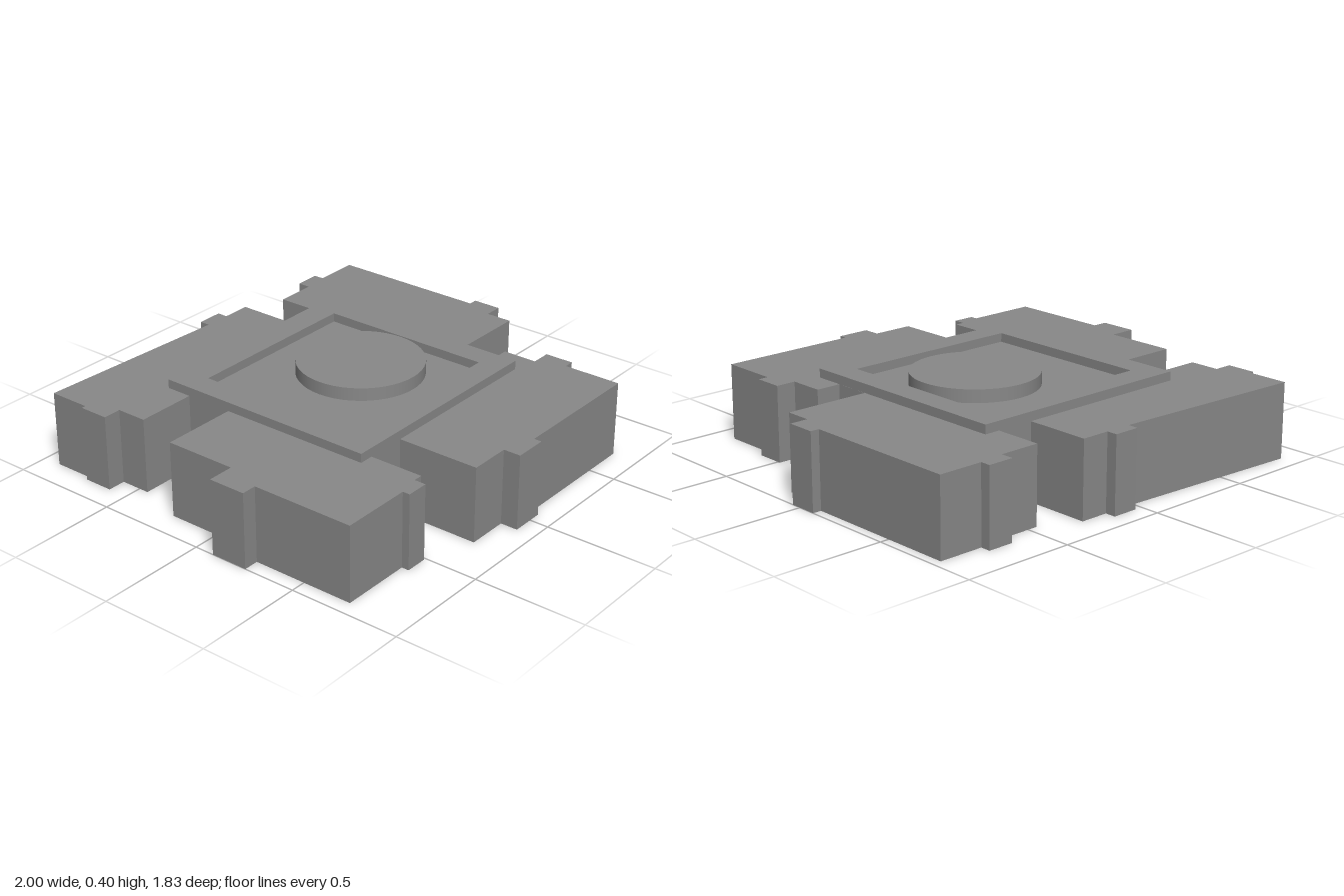
import * as THREE from 'three';

const TOP = 0.34; // height of the block layer
const DISC = { x: 0.098, z: -0.043, r: 0.28 };
const OPENING = { x: 0.13, z: -0.12, r: 0.265 };

// Plan outline of the four arms with their tabs, as [x, z]
const OUTLINE = [
  // back arm
  [-0.87, -0.915], [0.035, -0.868], [0.035, -0.915], [0.153, -0.915], [0.153, -0.867], [0.283, -0.867], [0.283, -0.573],
  // left arm
  [0.455, -0.573], [0.455, -0.787], [0.64, -0.787], [0.64, -0.845], [0.757, -0.845], [0.757, -0.8], [0.96, -0.8],
  [0.96, -0.085], [1, -0.085], [1, 0.045], [0.917, 0.045], [0.917, 0.163], [0.528, 0.163],
  // front arm
  [0.528, 0.33], [0.643, 0.33], [0.643, 0.487], [0.734, 0.487], [0.734, 0.617], [0.688, 0.617], [0.688, 0.88],
  [0.055, 0.88], [0.055, 0.915], [-0.095, 0.915], [-0.095, 0.837], [-0.283, 0.837], [-0.283, 0.463],
  // right arm
  [-0.468, 0.463], [-0.468, 0.708], [-0.51, 0.708], [-0.51, 0.76], [-0.61, 0.76], [-0.61, 0.727], [-0.932, 0.727],
  [-0.932, 0.26], [-1, 0.26], [-1, 0.09], [-0.88, 0.09], [-0.88, -0.237], [-0.533, -0.237],
  // end of back arm
  [-0.533, -0.455], [-0.807, -0.455], [-0.807, -0.593], [-0.89, -0.593], [-0.89, -0.727], [-0.87, -0.727],
];

const rect = (x0, x1, z0, z1) => [[x0, z0], [x1, z0], [x1, z1], [x0, z1]];
const FRAME = rect(-0.533, 0.527, -0.573, 0.463);
const WELL = rect(-0.42, 0.415, -0.45, 0.35);

const points = (list) => list.map(([x, z]) => new THREE.Vector2(x, -z));

function planShape(list, hole) {
  const shape = new THREE.Shape(points(list));
  shape.holes.push(hole);
  return shape;
}

// Holes run against the outline, so their walls face inward
const wellHole = () => new THREE.Path(points(WELL).reverse());
const roundHole = ({ x, z, r }) => new THREE.Path().absarc(x, -z, r, 0, Math.PI * 2, false);

// Upright prism or flat sheet from a plan shape
function prism(shape, height) {
  return new THREE.ExtrudeGeometry(shape, { depth: height, bevelEnabled: false }).rotateX(-Math.PI / 2);
}
const sheet = (shape) => new THREE.ShapeGeometry(shape, 24).rotateX(-Math.PI / 2);

export function createModel() {
  const model = new THREE.Group();
  const solid = new THREE.MeshStandardMaterial({ color: 0x888888 });
  const thin = new THREE.MeshStandardMaterial({ color: 0x888888, side: THREE.DoubleSide });

  function add(name, geometry, material, x, y, z) {
    const mesh = new THREE.Mesh(geometry, material);
    mesh.name = name;
    mesh.position.set(x, y, z);
    model.add(mesh);
  }

  // Four-armed block with a square chamber in the middle
  add('armBlock', prism(planShape(OUTLINE, wellHole()), TOP), solid, 0, 0, 0);

  // Chamber floor and ceiling, each with a round opening
  add('bottomPlate', sheet(planShape(WELL, roundHole(OPENING))), thin, 0, 0, 0);
  add('wellFloor', sheet(planShape(WELL, roundHole(DISC))), thin, 0, TOP, 0);

  // Raised square rim
  add('squareRim', prism(planShape(FRAME, wellHole()), 0.04), solid, 0, TOP, 0);

  // Round cap standing in the well, open underneath
  const h = 0.058;
  add('discSide', new THREE.CylinderGeometry(DISC.r, DISC.r, h, 48, 1, true), thin, DISC.x, TOP + h / 2, DISC.z);
  add('discTop', new THREE.CircleGeometry(DISC.r, 48).rotateX(-Math.PI / 2), thin, DISC.x, TOP + h, DISC.z);

  return model;
}
